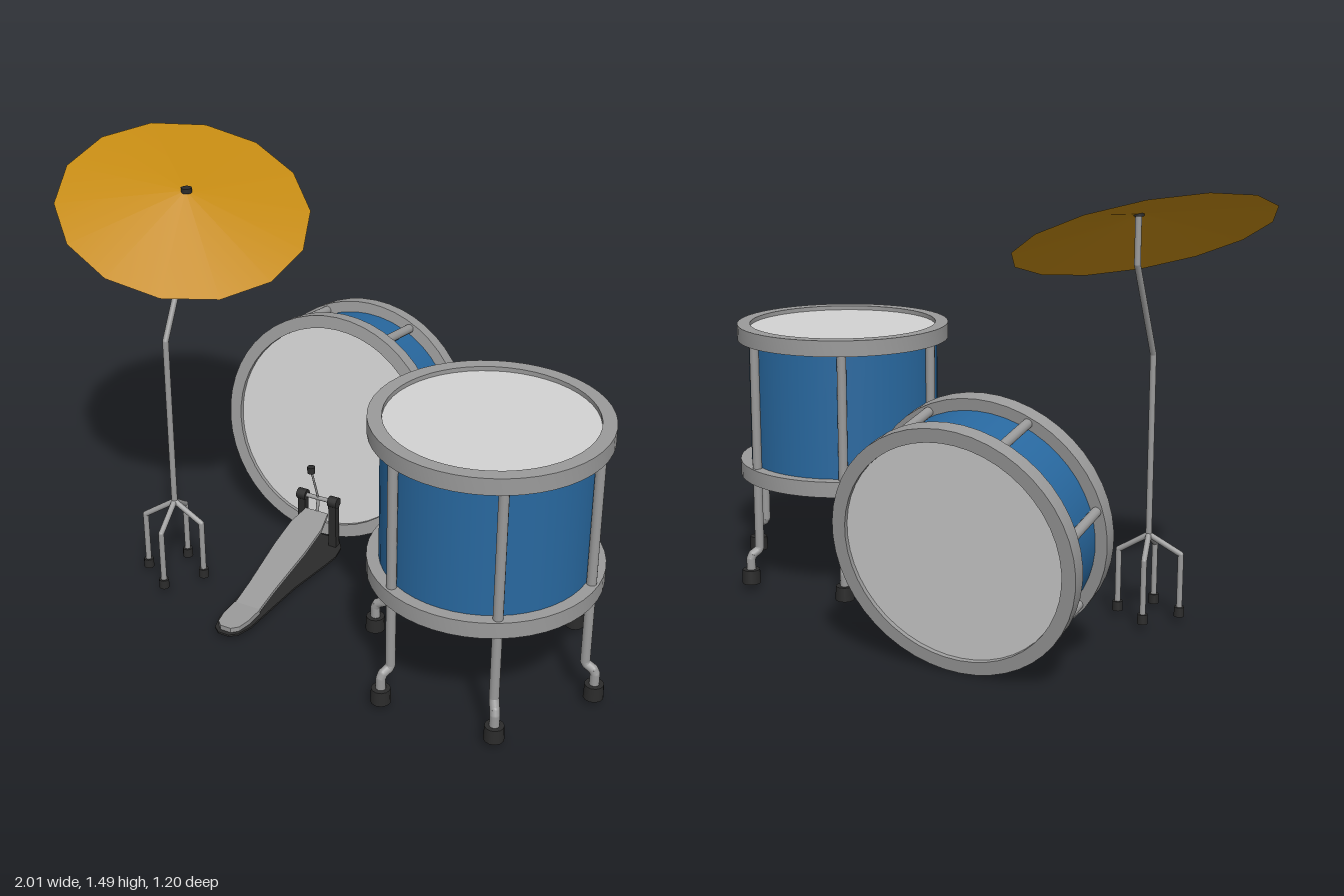
import * as THREE from 'three';
import { toCreasedNormals } from 'three/addons/utils/BufferGeometryUtils.js';

const mat = (name, color, side = THREE.FrontSide) => {
  const m = new THREE.MeshStandardMaterial({ color, side });
  m.name = name;
  return m;
};

export function createModel() {
  const blue = mat('blue shell', 0x28689f);
  const metal = mat('grey metal', 0x9a9a9a);
  const skin = mat('drum skin', 0xd2d2d2);
  const brass = mat('brass', 0xc48a12, THREE.DoubleSide);
  const black = mat('black rubber', 0x2b2b2b);

  const model = new THREE.Group();
  model.name = 'drumKit';
  const V = (x, y, z) => new THREE.Vector3(x, y, z);

  const group = (name, parent = model) => {
    const g = new THREE.Group();
    g.name = name;
    parent.add(g);
    return g;
  };
  const add = (parent, name, geo, material, x = 0, y = 0, z = 0) => {
    const m = new THREE.Mesh(geo, material);
    m.name = name;
    m.position.set(x, y, z);
    parent.add(m);
    return m;
  };
  // Round bar through a list of points, with ball joints at the bends
  const bar = (parent, name, pts, r, material = metal) => {
    for (let i = 0; i < pts.length - 1; i++) {
      const d = pts[i + 1].clone().sub(pts[i]);
      const m = add(parent, name, new THREE.CylinderGeometry(r, r, d.length(), 12), material);
      m.position.copy(pts[i]).addScaledVector(d, 0.5);
      m.quaternion.setFromUnitVectors(V(0, 1, 0), d.normalize());
      if (i > 0) add(parent, name + 'Joint', new THREE.SphereGeometry(r, 12, 8), material, ...pts[i].toArray());
    }
  };

  // Drum standing along y, centred on its own origin
  const drum = (name, radius, inner, height, lugs) => {
    const g = group(name);
    const hoopH = 0.055, mid = (radius + inner) / 2;
    const profile = [[inner, 0], [radius, 0], [radius, hoopH], [inner, hoopH], [inner, 0]];
    const hoop = toCreasedNormals(new THREE.LatheGeometry(profile.map(p => new THREE.Vector2(...p)), 48), 0.6);
    add(g, 'shell', new THREE.CylinderGeometry(inner + 0.006, inner + 0.006, height - hoopH, 48, 1, true), blue);
    for (const s of [1, -1]) {
      add(g, 'hoop', hoop, metal, 0, s > 0 ? height / 2 - hoopH : -height / 2);
      add(g, 'drumhead', new THREE.CylinderGeometry(inner + 0.003, inner + 0.003, 0.01, 48), skin, 0, s * (height / 2 - 0.02));
    }
    for (let i = 0; i < lugs; i++) {
      const a = i / lugs * Math.PI * 2;
      const x = mid * Math.sin(a), z = mid * Math.cos(a);
      bar(g, 'tensionRod', [V(x, -height / 2 + 0.02, z), V(x, height / 2 - 0.02, z)], 0.016);
    }
    return g;
  };

  // Bass drum, leaning back
  const bass = drum('bassDrum', 0.41, 0.365, 0.3, 7);
  bass.position.set(-0.245, 0.435, -0.385);
  bass.rotation.x = Math.PI / 2 - 0.166;

  // Floor tom with six cranked legs
  const tom = drum('floorTom', 0.375, 0.33, 0.545, 0);
  tom.position.set(0.575, 0.6625, 0.225);
  for (let i = 0; i < 6; i++) {
    const leg = group('tomLeg', tom);
    leg.rotation.y = i * Math.PI / 3;
    bar(leg, 'legRod', [V(0.352, 0.25, 0), V(0.352, -0.508, 0), V(0.345, -0.508, 0)].slice(0, 2)
      .concat([V(0.358, -0.518, 0), V(0.38, -0.53, 0), V(0.387, -0.545, 0), V(0.387, -0.61, 0)]), 0.016);
    add(leg, 'rubberFoot', new THREE.CylinderGeometry(0.031, 0.033, 0.05, 12), black, 0.387, -0.608, 0);
  }

  // Cymbal: shallow fourteen-sided cone, tipped forward and to one side
  const cymbal = group('cymbal');
  cymbal.position.set(-0.597, 1.392, 0.068);
  cymbal.rotation.set(0.422, 0.859, 0, 'YXZ');
  add(cymbal, 'cymbalPlate', new THREE.ConeGeometry(0.42, 0.075, 14, 1, true), brass, 0, -0.0375);
  add(model, 'wingNut', new THREE.CylinderGeometry(0.018, 0.018, 0.016, 12), black, -0.595, 1.394, 0.066);

  // Cymbal stand: bent pole over four legs
  const stand = group('cymbalStand');
  stand.position.set(-0.595, 0, 0.235);
  bar(stand, 'pole', [V(0, 0.29, 0), V(0, 0.92, -0.003), V(0, 1.235, -0.169), V(0, 1.385, -0.169)], 0.0105);
  for (let i = 0; i < 4; i++) {
    const a = -0.18 + i * Math.PI / 2;
    const x = 0.105 * Math.cos(a), z = 0.105 * Math.sin(a) + 0.013;
    bar(stand, 'standLeg', [V(0, 0.308, 0), V(x, 0.243, z), V(x, 0.05, z)], 0.01);
    add(stand, 'standFoot', new THREE.CylinderGeometry(0.017, 0.018, 0.033, 12), black, x, 0.043, z);
  }

  // Kick pedal
  const pedal = group('kickPedal');
  pedal.position.x = -0.243;
  // Flat plate outlined by mirrored [half width, z] pairs
  const plate = (name, halves, depth, material, y) => {
    const outline = [...halves, ...halves.map(([w, z]) => [-w, z]).reverse()];
    const shape = new THREE.Shape(outline.map(([x, z]) => new THREE.Vector2(x, -z)));
    const geo = new THREE.ExtrudeGeometry(shape, { depth, bevelEnabled: false });
    geo.rotateX(-Math.PI / 2);
    return add(pedal, name, geo, material, 0, y, 0);
  };
  plate('basePlate', [[0.02, 0.495], [0.045, 0.475], [0.062, 0.42], [0.066, 0.33], [0.075, 0.15],
    [0.1, -0.03], [0.106, -0.09], [0.095, -0.15], [0.06, -0.2]], 0.007, black, 0.025);
  plate('heelPlate', [[0.02, 0.48], [0.04, 0.46], [0.05, 0.41], [0.05, 0.34]], 0.017, metal, 0.032);
  const board = plate('footboard', [[0.048, 0], [0.05, -0.1], [0.062, -0.3], [0.062, -0.42], [0.045, -0.5]],
    0.012, metal, 0.036);
  board.position.z = 0.34;
  board.rotation.x = 0.238;

  // Posts, axle and beater
  for (const s of [-1, 1]) {
    add(pedal, 'post', new THREE.BoxGeometry(0.03, 0.19, 0.026), black, s * 0.063, 0.125, -0.155);
    bar(pedal, 'bearing', [V(s * 0.046, 0.213, -0.155), V(s * 0.081, 0.213, -0.155)], 0.02, black);
  }
  bar(pedal, 'axle', [V(-0.06, 0.213, -0.155), V(0.06, 0.213, -0.155)], 0.008);
  bar(pedal, 'beaterRod', [V(0, 0.213, -0.155), V(0, 0.35, -0.107)], 0.004);
  bar(pedal, 'pullLink', [V(0, 0.213, -0.155), V(0, 0.155, -0.145)], 0.006);
  bar(pedal, 'beater', [V(0, 0.342, -0.107), V(0, 0.366, -0.107)], 0.014, black);

  return model;
}
